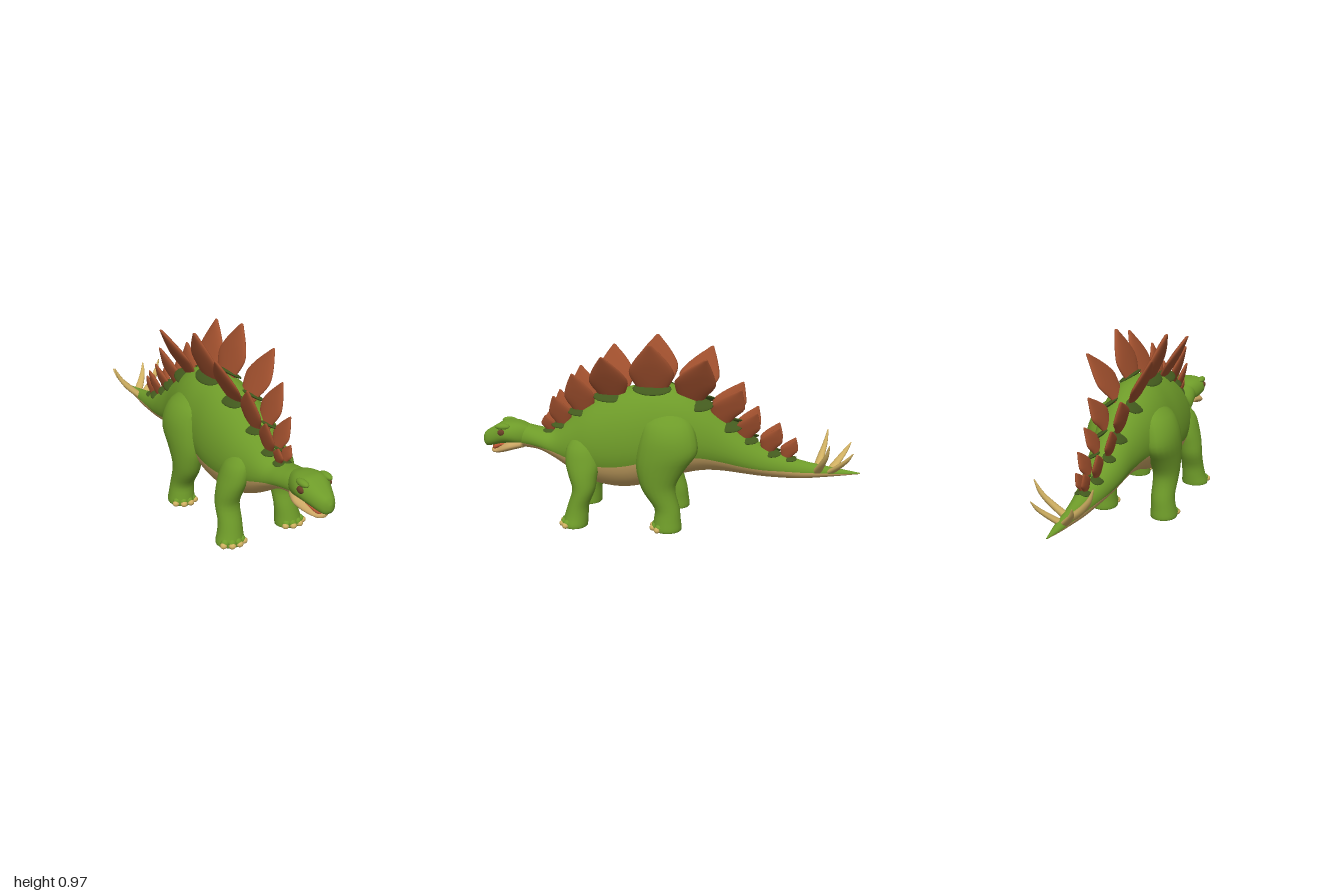
import * as THREE from 'three';

const mat = (name, color) => Object.assign(new THREE.MeshStandardMaterial({ color }), { name });

// Catmull-Rom resampling of rows of numbers
function smooth(rows, steps) {
  const out = [];
  for (let i = 0; i < rows.length - 1; i++) {
    const [a, b, c, d] = [rows[Math.max(i - 1, 0)], rows[i], rows[i + 1], rows[Math.min(i + 2, rows.length - 1)]];
    for (let k = 0; k < steps; k++) {
      const t = k / steps;
      out.push(b.map((v, n) => v + 0.5 * t * (c[n] - a[n] + t * (2 * a[n] - 5 * v + 4 * c[n] - d[n]
        + t * (3 * (v - c[n]) + d[n] - a[n])))));
    }
  }
  out.push(rows[rows.length - 1]);
  return out;
}

// Closed skin over rings; ring segments from "split" on use the second material
function loft(rings, split = Infinity) {
  const n = rings[0].length, pos = rings.flat(2), first = [], second = [];
  for (let i = 0; i < rings.length - 1; i++) {
    for (let j = 0; j < n; j++) {
      const k = (j + 1) % n, a = i * n + j, b = i * n + k, d = a + n, c = b + n;
      (j < split ? first : second).push(a, d, b, b, d, c);
    }
  }
  for (const end of [0, rings.length - 1]) {
    const centre = [0, 1, 2].map(q => rings[end].reduce((sum, p) => sum + p[q], 0) / n);
    const id = pos.length / 3;
    pos.push(...centre);
    for (let j = 0; j < n; j++) {
      const a = end * n + j, b = end * n + (j + 1) % n;
      first.push(id, ...(end ? [b, a] : [a, b]));
    }
  }
  const g = new THREE.BufferGeometry();
  g.setAttribute('position', new THREE.Float32BufferAttribute(pos, 3));
  g.setIndex([...first, ...second]);
  if (second.length) {
    g.addGroup(0, first.length, 0);
    g.addGroup(first.length, second.length, 1);
  }
  g.computeVertexNormals();
  return g;
}

// Upright egg-shaped section: row is [z, top, bottom, half width, colour line height]
const UP = 24, LOW = 14, WAIST = 0.45;
function section([z, top, bot, w, line], power = 1) {
  const mid = bot + WAIST * (top - bot);
  const a0 = line === undefined ? -0.6 : Math.asin(THREE.MathUtils.clamp((line - mid) / (line < mid ? mid - bot : top - mid), -0.95, 0.95));
  const ring = [];
  for (let j = 0; j < UP + LOW; j++) {
    const a = j < UP ? a0 + (Math.PI - 2 * a0) * j / UP
      : Math.PI - a0 + (Math.PI + 2 * a0) * (j - UP) / LOW;
    const c = Math.cos(a), s = Math.sin(a);
    ring.push([w * Math.sign(c) * Math.abs(c) ** power, mid + s * (s > 0 ? top - mid : mid - bot), z]);
  }
  return ring;
}

// Level oval section: row is [y, x, z, radius x, radius z]
const level = ([y, x, z, rx, rz], s, n = 20) => Array.from({ length: n }, (_, j) => {
  const a = j / n * Math.PI * 2;
  return [s * x + rx * Math.cos(a), y, z - rz * Math.sin(a)];
});

export function createModel() {
  const model = new THREE.Group();
  const green = mat('skin green', 0x6e9b29), tan = mat('belly tan', 0xcba664), rust = mat('plate rust', 0x9f4f2d);
  const moss = mat('dark moss', 0x42591d), coral = mat('mouth coral', 0xc25a36), brown = mat('eye brown', 0x6a4026);
  const horn = mat('horn yellow', 0xd0b062);

  const add = (name, geometry, material, parent = model) => {
    const m = new THREE.Mesh(geometry, material);
    m.name = name;
    parent.add(m);
    return m;
  };
  const ball = (name, material, p, r, parent = model) => {
    const m = add(name, new THREE.SphereGeometry(1, 16, 12), material, parent);
    m.position.set(...p);
    m.scale.set(...r);
    return m;
  };

  // Neck, trunk and tail
  const bodyRows = smooth([
    [0.84, 0.48, 0.37, 0.05, 0.40], [0.76, 0.49, 0.365, 0.068, 0.40], [0.68, 0.475, 0.355, 0.082, 0.388],
    [0.60, 0.475, 0.315, 0.095, 0.372], [0.5, 0.555, 0.25, 0.13, 0.345], [0.4, 0.63, 0.2, 0.165, 0.33],
    [0.3, 0.68, 0.177, 0.183, 0.325], [0.2, 0.715, 0.175, 0.19, 0.338], [0.1, 0.735, 0.197, 0.185, 0.36],
    [0, 0.74, 0.235, 0.18, 0.37], [-0.1, 0.715, 0.265, 0.165, 0.388], [-0.2, 0.655, 0.285, 0.14, 0.382],
    [-0.3, 0.575, 0.285, 0.115, 0.358], [-0.4, 0.495, 0.275, 0.1, 0.335], [-0.5, 0.43, 0.265, 0.08, 0.318],
    [-0.6, 0.385, 0.26, 0.06, 0.31], [-0.7, 0.355, 0.26, 0.045, 0.303], [-0.8, 0.335, 0.27, 0.032, 0.30],
    [-0.9, 0.318, 0.283, 0.022, 0.298], [-1, 0.302, 0.296, 0.003, 0.299]], 4);
  add('body', loft(bodyRows.map(r => section(r)), UP), [green, tan]);

  // Height and sideways slope angle of the back at a given x and z
  const backAt = (x, z) => {
    const [, top, bot, w] = bodyRows.find(r => r[0] <= z);
    const mid = bot + WAIST * (top - bot), sin = Math.sqrt(1 - (x / w) ** 2);
    return [mid + (top - mid) * sin, Math.atan((top - mid) / w * (x / w) / sin)];
  };

  // Head, lower jaw and mouth lining
  const headPart = (name, rows, material, power) => add(name, loft(smooth(rows, 4).map(r => section(r, power))), material);
  headPart('head', [[1.0, 0.415, 0.385, 0.008], [0.985, 0.442, 0.366, 0.033], [0.96, 0.458, 0.366, 0.05],
    [0.92, 0.482, 0.376, 0.068], [0.88, 0.505, 0.386, 0.085], [0.84, 0.508, 0.388, 0.089],
    [0.79, 0.503, 0.38, 0.076], [0.74, 0.485, 0.385, 0.05]], green, 0.72);
  headPart('lowerJaw', [[0.958, 0.348, 0.333, 0.01], [0.945, 0.354, 0.328, 0.032], [0.92, 0.36, 0.328, 0.046],
    [0.88, 0.39, 0.336, 0.071], [0.83, 0.415, 0.352, 0.086], [0.77, 0.42, 0.366, 0.064]], tan, 0.8);
  headPart('mouth', [[0.948, 0.375, 0.345, 0.02], [0.93, 0.388, 0.345, 0.036], [0.88, 0.40, 0.37, 0.05],
    [0.82, 0.40, 0.37, 0.05]], coral, 0.8);

  // Legs: rows run from hip or shoulder down to the sole
  const legs = {
    hind: [[0.63, 0.09, -0.02, 0.03, 0.05], [0.57, 0.125, -0.02, 0.072, 0.12], [0.5, 0.148, -0.025, 0.087, 0.145],
      [0.42, 0.16, -0.02, 0.086, 0.155], [0.34, 0.162, 0.01, 0.08, 0.13], [0.26, 0.165, 0.025, 0.07, 0.098],
      [0.2, 0.165, 0.015, 0.065, 0.083], [0.12, 0.165, -0.022, 0.062, 0.066], [0.06, 0.17, -0.025, 0.066, 0.07],
      [0.02, 0.172, -0.024, 0.072, 0.076], [0.005, 0.172, -0.024, 0.07, 0.074]],
    front: [[0.5, 0.07, 0.42, 0.03, 0.04], [0.42, 0.113, 0.43, 0.06, 0.08], [0.34, 0.138, 0.425, 0.065, 0.09],
      [0.27, 0.156, 0.42, 0.065, 0.075], [0.2, 0.166, 0.415, 0.063, 0.06], [0.12, 0.168, 0.443, 0.062, 0.056],
      [0.06, 0.173, 0.455, 0.066, 0.062], [0.02, 0.178, 0.462, 0.074, 0.067], [0.005, 0.178, 0.462, 0.073, 0.065]],
  };
  // Tail spikes: rows run from tip to root
  const spikes = [
    [[0.485, 0.146, -0.832, 0.003, 0.003], [0.42, 0.118, -0.82, 0.014, 0.012], [0.36, 0.072, -0.8, 0.024, 0.019],
      [0.30, 0.008, -0.78, 0.03, 0.025]],
    [[0.435, 0.1, -0.952, 0.003, 0.003], [0.39, 0.082, -0.922, 0.012, 0.014], [0.345, 0.048, -0.885, 0.02, 0.021],
      [0.30, 0.006, -0.845, 0.024, 0.027]]];
  // Back plates: front z, back z, base y, tip z, tip y, base x, tip x
  const plates = [
    [0.67, 0.59, 0.48, 0.645, 0.552, 0.018, 0.035], [0.62, 0.50, 0.52, 0.59, 0.668, 0.028, 0.07],
    [0.53, 0.37, 0.60, 0.48, 0.797, 0.038, 0.1], [0.39, 0.19, 0.685, 0.31, 0.903, 0.05, 0.168],
    [0.185, -0.045, 0.725, 0.07, 0.967, 0.05, 0.14], [-0.05, -0.26, 0.69, -0.22, 0.907, 0.055, 0.17],
    [-0.23, -0.405, 0.585, -0.39, 0.74, 0.043, 0.085], [-0.36, -0.485, 0.49, -0.47, 0.618, 0.035, 0.07],
    [-0.485, -0.6, 0.425, -0.582, 0.538, 0.025, 0.05], [-0.59, -0.68, 0.385, -0.667, 0.47, 0.01, 0.02]];
  // Plate outline: height, width and thickness as fractions
  const outline = smooth([[-0.25, 0.5, 0.8], [0, 0.7, 0.95], [0.2, 0.92, 1], [0.38, 1, 1], [0.58, 0.8, 0.95],
    [0.78, 0.48, 0.75], [0.92, 0.21, 0.55], [0.98, 0.1, 0.4], [1, 0.04, 0.15]], 3);

  for (const [side, s] of [['left', 1], ['right', -1]]) {
    for (const [kind, rows] of Object.entries(legs)) {
      const leg = new THREE.Group();
      leg.name = `${side}${kind === 'hind' ? 'Hind' : 'Front'}Leg`;
      model.add(leg);
      add('leg', loft(smooth(rows, 3).map(r => level(r, s))), green, leg);
      // Toes with nails, fanned round the front of the foot
      const [, x, z, rx, rz] = rows[rows.length - 1];
      for (const a of [-0.75, -0.2, 0.35, 0.95]) {
        const dx = s * Math.sin(a), dz = Math.cos(a);
        ball('toe', green, [s * x + dx * rx * 0.82, 0.025, z + dz * rz * 0.82], [0.022, 0.022, 0.022], leg);
        ball('nail', horn, [s * x + dx * rx * 1.03, 0.018, z + dz * rz * 1.03], [0.018, 0.016, 0.017], leg);
      }
    }
    // Eye under a low brow
    ball(`${side}Eye`, brown, [s * 0.08, 0.458, 0.875], [0.011, 0.017, 0.022]);
    ball(`${side}Brow`, green, [s * 0.066, 0.488, 0.872], [0.02, 0.017, 0.042]);

    spikes.forEach(rows => add(`${side}TailSpike`, loft(smooth(rows, 4).map(r => level(r, s, 12))), horn));

    for (const [zf, zb, y, tz, ty, bx, tx] of plates) {
      // Rounded plate leaning outwards, its point drawn towards the tip
      const w = zf - zb, mid = (zf + zb) / 2;
      const rows = outline.map(([t, f, k]) => [y + (ty - y) * t, bx + (tx - bx) * t,
        mid + (tz - mid) * (t > 0.38 ? 1 - f : f - 1), k * (0.007 + 0.055 * w), f * w / 2]);
      add(`${side}BackPlate`, loft(rows.reverse().map(r => level(r, s))), rust);
      // Dark skin lying on the back round the plate root
      const px = bx + 0.05 * w, [py, slope] = backAt(px, mid);
      ball(`${side}PlateRoot`, moss, [s * px, py, mid], [0.012 + 0.17 * w, 0.006 + 0.025 * w, 0.44 * w])
        .rotation.z = -s * slope;
    }
  }
  return model;
}
